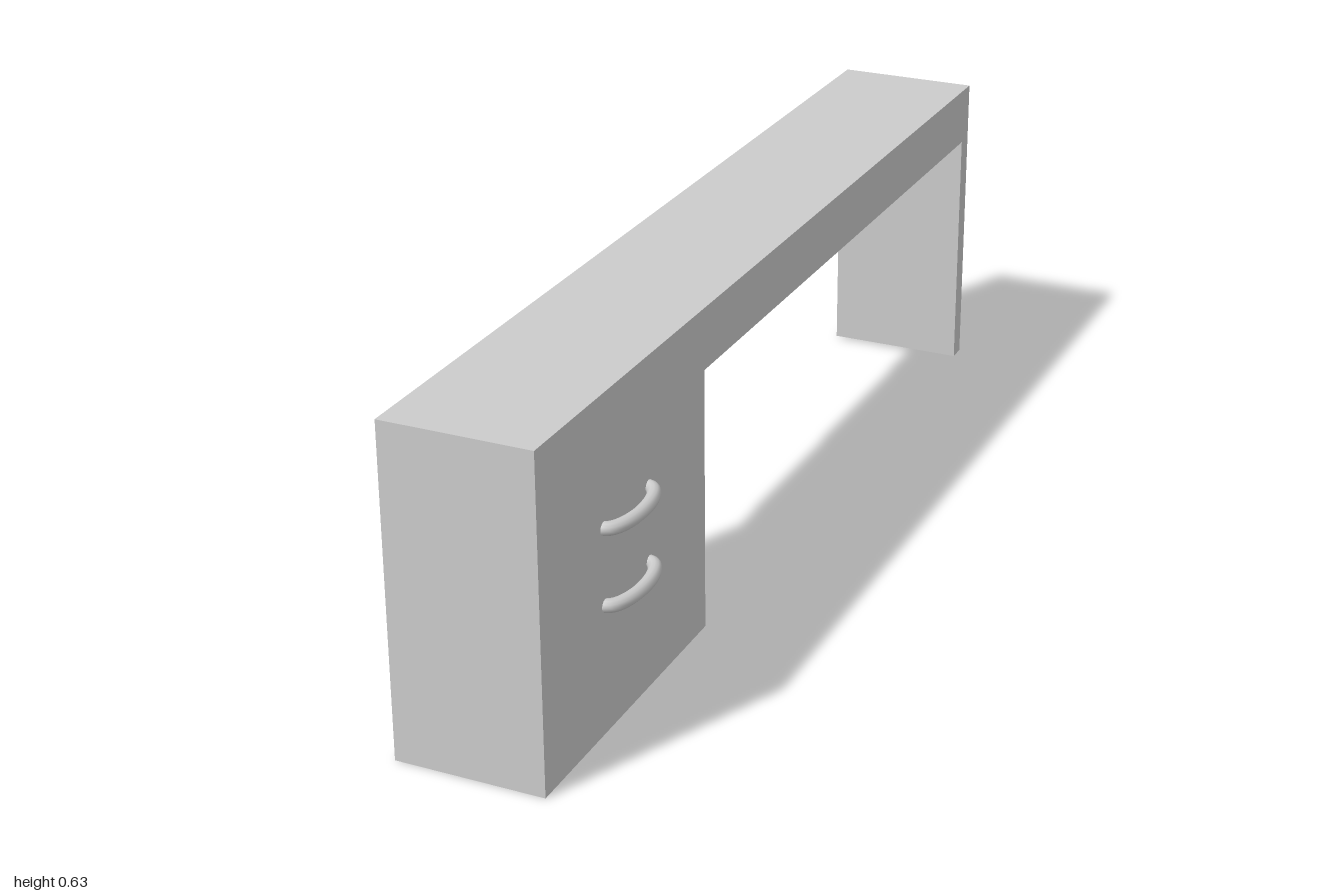
import * as THREE from 'three';

const LEFT = 0.12, WIDTH = 0.283;

// Half-ellipse path bowing out from the cabinet face
class BowCurve extends THREE.Curve {
  getPoint(t, target = new THREE.Vector3()) {
    const a = Math.PI * t;
    return target.set(0.0305 * Math.sin(a), 0, 0.085 * Math.cos(a));
  }
}

export function createModel() {
  const group = new THREE.Group();
  const material = new THREE.MeshStandardMaterial({ color: 0xcccccc });

  // Desk body: side profile (z, y) of cabinet, top and end panel, extruded across the width
  const profile = new THREE.Shape([
    [1, 0], [1, 0.627], [-1, 0.627], [-1, 0.005],
    [-0.963, 0.005], [-0.963, 0.51], [0.375, 0.51], [0.375, 0],
  ].map(([z, y]) => new THREE.Vector2(z, y)));
  const bodyGeometry = new THREE.ExtrudeGeometry(profile, { depth: WIDTH, bevelEnabled: false });
  bodyGeometry.rotateY(-Math.PI / 2).translate(LEFT, 0, 0);
  const body = new THREE.Mesh(bodyGeometry, material);
  body.name = 'deskBody';
  group.add(body);

  // Two bowed drawer handles on the cabinet face
  const handleGeometry = new THREE.TubeGeometry(new BowCurve(), 24, 0.0125, 12);
  [['upperHandle', 0.387], ['lowerHandle', 0.243]].forEach(([name, y]) => {
    const handle = new THREE.Mesh(handleGeometry, material);
    handle.name = name;
    handle.position.set(LEFT, y, 0.687);
    group.add(handle);
  });

  return group;
}
